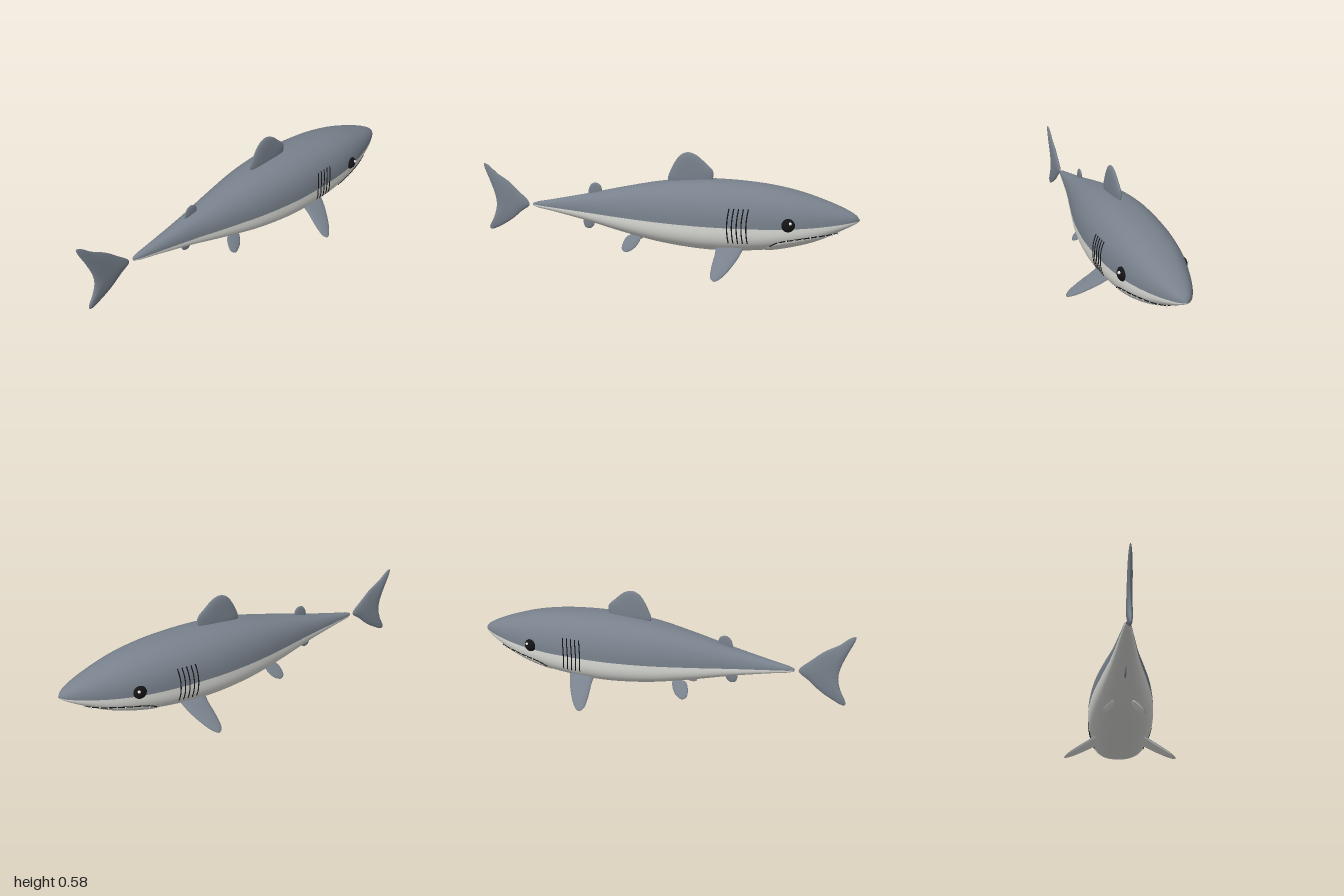
import * as THREE from 'three';
import { mergeVertices } from 'three/addons/utils/BufferGeometryUtils.js';

const paint = (name, color, side = THREE.FrontSide) => {
  const m = new THREE.MeshStandardMaterial({ color, side });
  m.name = name;
  return m;
};

// Body stations: x, top y, widest y, bottom y, half width
const STATIONS = [
  [-0.715, 0.266, 0.257, 0.248, 0.009], [-0.7, 0.272, 0.256, 0.242, 0.015],
  [-0.6, 0.292, 0.252, 0.226, 0.032], [-0.4, 0.335, 0.245, 0.187, 0.067],
  [-0.2, 0.381, 0.241, 0.143, 0.112], [0, 0.42, 0.239, 0.107, 0.153],
  [0.2, 0.44, 0.238, 0.088, 0.176], [0.35, 0.441, 0.238, 0.087, 0.178],
  [0.5, 0.432, 0.239, 0.098, 0.171], [0.6, 0.419, 0.241, 0.113, 0.16],
  [0.7, 0.399, 0.245, 0.135, 0.142], [0.8, 0.37, 0.251, 0.166, 0.114],
  [0.9, 0.334, 0.26, 0.212, 0.077], [0.96, 0.306, 0.266, 0.242, 0.045],
  [0.985, 0.289, 0.268, 0.256, 0.024], [1, 0.269, 0.268, 0.267, 0.001],
];
const UPPER = 2.3, LOWER = 2.65; // roundness of the two half sections

// Smooth interpolation through rows keyed by their first number
function sample(rows, x) {
  let i = 0;
  while (i < rows.length - 2 && x > rows[i + 1][0]) i++;
  const a = rows[i], b = rows[i + 1], p = rows[Math.max(i - 1, 0)], q = rows[Math.min(i + 2, rows.length - 1)];
  const h = b[0] - a[0], t = THREE.MathUtils.clamp((x - a[0]) / h, 0, 1);
  return a.slice(1).map((v, k) => {
    const w = b[k + 1], ma = (w - p[k + 1]) / (b[0] - p[0]) * h, mb = (q[k + 1] - v) / (q[0] - a[0]) * h;
    const t2 = t * t, t3 = t2 * t;
    return v * (2 * t3 - 3 * t2 + 1) + ma * (t3 - 2 * t2 + t) + w * (3 * t2 - 2 * t3) + mb * (t3 - t2);
  });
}

// Skin point at station x and angle a (0 = +z side, PI/2 = back)
function skin(x, a, grow = 1) {
  const [top, mid, low, w] = sample(STATIONS, x);
  const s = Math.sin(a), c = Math.cos(a), e = 2 / (s >= 0 ? UPPER : LOWER);
  const h = s >= 0 ? top - mid : mid - low;
  return new THREE.Vector3(x, mid + Math.sign(s) * h * Math.abs(s) ** e * grow, Math.sign(c) * w * Math.abs(c) ** e * grow);
}

// Angle on the +z side where the skin reaches height y
function angleAt(x, y) {
  const [top, mid, low] = sample(STATIONS, x);
  const t = y > mid ? (y - mid) / (top - mid) : (mid - y) / (mid - low);
  return Math.sign(y - mid) * Math.asin(Math.min(1, t) ** ((y > mid ? UPPER : LOWER) / 2));
}

// Smooth surface from a grid of points
function grid(nu, nv, fn) {
  const pos = [], index = [];
  for (let i = 0; i <= nu; i++) for (let j = 0; j <= nv; j++) pos.push(...fn(i / nu, j / nv).toArray());
  for (let i = 0; i < nu; i++) for (let j = 0; j < nv; j++) {
    const a = i * (nv + 1) + j, b = a + nv + 1;
    index.push(a, b, a + 1, b, b + 1, a + 1);
  }
  const g = new THREE.BufferGeometry();
  g.setAttribute('position', new THREE.Float32BufferAttribute(pos, 3));
  g.setIndex(index);
  const merged = mergeVertices(g, 1e-5);
  merged.computeVertexNormals();
  return merged;
}

// Lens-shaped fin from an outline around a centre; each face has its own colour
function fin(name, outline, [cx, cy], thick, faceMat, backMat = faceMat) {
  const group = new THREE.Group();
  group.name = name;
  let pts = new THREE.CatmullRomCurve3(outline.map(([x, y]) => new THREE.Vector3(x, y, 0)), true, 'centripetal').getPoints(64);
  if (THREE.ShapeUtils.isClockWise(pts)) pts.reverse();
  for (const side of [1, -1]) {
    const g = grid(64, 10, (u, v) => {
      const p = pts[Math.round((side > 0 ? u : 1 - u) * 64)], s = 1 - v * v;
      return new THREE.Vector3(cx + (p.x - cx) * s, cy + (p.y - cy) * s, side * thick * Math.sqrt(1 - s ** 3));
    });
    const m = new THREE.Mesh(g, side > 0 ? faceMat : backMat);
    m.name = name + (side > 0 ? 'Face' : 'Back');
    group.add(m);
  }
  return group;
}

const MOUTH = [[0.53, 0.125], [0.57, 0.148], [0.61, 0.172], [0.73, 0.194], [0.82, 0.205], [0.9, 0.212]];
const mouthAngle = (x) => angleAt(x, sample(MOUTH, x)[0]);

export function createModel() {
  const model = new THREE.Group();
  model.name = 'shark';
  const grey = paint('slateGrey', 0x78818c), belly = paint('bellyWhite', 0xdcdcd8);
  const dark = paint('black', 0x141416), white = paint('toothWhite', 0xf6f6f2);
  const add = (parent, name, geo, mat) => {
    const m = new THREE.Mesh(geo, mat);
    m.name = name;
    parent.add(m);
    return m;
  };

  // Body: grey back and pale underside meet along the widest line
  const along = (u) => -0.715 + 1.715 * (1 - (1 - u) ** 1.4);
  add(model, 'back', grid(110, 32, (u, v) => skin(along(u), Math.PI * v)), grey);
  add(model, 'underside', grid(110, 32, (u, v) => skin(along(u), -Math.PI * (1 - v))), belly);
  const tip = add(model, 'tailStub', new THREE.SphereGeometry(0.0095, 16, 12), grey);
  tip.position.set(-0.713, 0.257, 0);

  // Lower jaw bulging slightly from the underside
  add(model, 'lowerJaw', grid(40, 36, (u, v) => {
    const x = 0.9 - 0.37 * (1 - u) ** 2;
    const edge = mouthAngle(x), a = THREE.MathUtils.lerp(-Math.PI - edge, edge, v);
    const bulge = Math.max(0, Math.sin(Math.PI * v)) ** 0.35 * Math.min(1, (1 - (1 - u) ** 2) * 9);
    return skin(x, a, 0.99 + 0.05 * bulge);
  }), belly);

  // Mouth line and teeth follow the same curve
  const mouthPoint = (s) => {
    const x = 0.9 - 0.33 * s * s, p = skin(x, mouthAngle(x), 1.01);
    if (s < 0) p.z *= -1;
    return p;
  };
  const lip = new THREE.CatmullRomCurve3(Array.from({ length: 41 }, (_, i) => mouthPoint(i / 20 - 1)));
  add(model, 'mouthLine', new THREE.TubeGeometry(lip, 100, 0.003, 6), dark);
  const toothGeo = new THREE.ConeGeometry(0.0045, 0.016, 8).rotateX(Math.PI);
  for (let i = 0; i < 19; i++) {
    const tooth = add(model, 'tooth', toothGeo, white);
    tooth.position.copy(lip.getPointAt(0.06 + 0.88 * i / 18)).add(new THREE.Vector3(0.002, -0.006, 0));
  }

  // Upright fins
  model.add(fin('dorsalFin', [[0.03, 0.425], [0.05, 0.5], [0.092, 0.561], [0.13, 0.577], [0.17, 0.567],
    [0.222, 0.525], [0.262, 0.482], [0.25, 0.425], [0.14, 0.4]], [0.14, 0.465], 0.0135, grey));
  model.add(fin('secondDorsalFin', [[-0.405, 0.335], [-0.4, 0.367], [-0.383, 0.389], [-0.36, 0.394],
    [-0.337, 0.38], [-0.333, 0.345], [-0.365, 0.325]], [-0.368, 0.355], 0.006, grey));
  model.add(fin('analFin', [[-0.43, 0.2], [-0.437, 0.17], [-0.428, 0.147], [-0.405, 0.14],
    [-0.38, 0.158], [-0.373, 0.2], [-0.4, 0.215]], [-0.405, 0.178], 0.006, grey));
  model.add(fin('tailFin', [[-0.998, 0.472], [-0.975, 0.464], [-0.925, 0.42], [-0.86, 0.378], [-0.8, 0.322],
    [-0.748, 0.27], [-0.744, 0.25], [-0.79, 0.215], [-0.85, 0.165], [-0.915, 0.125], [-0.975, 0.1],
    [-0.985, 0.11], [-0.955, 0.175], [-0.937, 0.235], [-0.94, 0.29], [-0.965, 0.37], [-0.996, 0.45]],
  [-0.865, 0.262], 0.0125, grey));

  // Everything that comes in pairs is made on +z and mirrored
  for (const side of [1, -1]) {
    const half = new THREE.Group();
    half.name = side > 0 ? 'frontSideParts' : 'backSideParts';
    half.scale.z = side;
    model.add(half);

    const pectoral = fin('pectoralFin', [[0.31, 0.03], [0.303, -0.05], [0.296, -0.14], [0.301, -0.195],
      [0.322, -0.213], [0.356, -0.185], [0.4, -0.11], [0.432, -0.03], [0.44, 0.03], [0.375, 0.045]],
    [0.362, -0.05], 0.013, grey, belly);
    pectoral.position.set(0, 0.125, 0.13);
    pectoral.rotation.x = -0.96;
    half.add(pectoral);

    const pelvic = fin('pelvicFin', [[-0.18, 0.035], [-0.198, -0.01], [-0.197, -0.042], [-0.175, -0.057],
      [-0.14, -0.04], [-0.115, -0.005], [-0.108, 0.035], [-0.145, 0.045]], [-0.152, -0.005], 0.007, grey, belly);
    pelvic.position.set(0, 0.1, 0.074);
    pelvic.rotation.x = -0.7;
    half.add(pelvic);

    // Gill slits laid on the skin
    for (let k = 0; k < 5; k++) {
      const pts = Array.from({ length: 9 }, (_, i) => {
        const t = i / 8, x = 0.36 + 0.0235 * k + 0.008 * (1 - Math.sin(Math.PI * t));
        return skin(x, angleAt(x, 0.16 + 0.175 * t));
      });
      add(half, 'gillSlit', new THREE.TubeGeometry(new THREE.CatmullRomCurve3(pts), 24, 0.003, 6), dark);
    }

    // Eye with a small glint
    const eye = add(half, 'eye', new THREE.SphereGeometry(0.034, 28, 20), dark);
    eye.position.set(0.655, 0.262, 0.145);
    eye.scale.z = 0.7;
    const glint = add(half, 'eyeGlint', new THREE.SphereGeometry(0.0075, 14, 10), white);
    glint.position.set(0.667, 0.276, 0.165);
  }
  return model;
}
